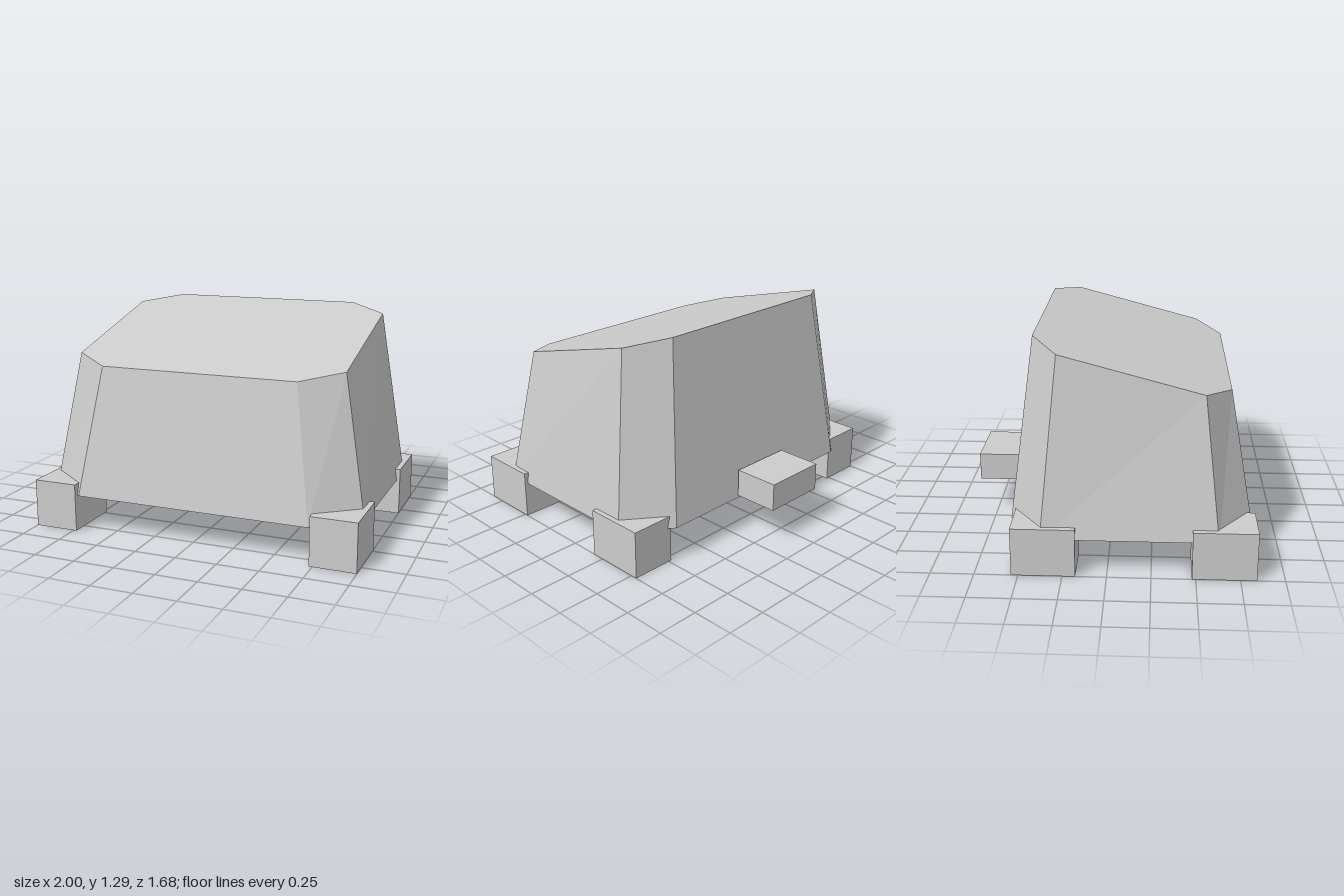
import * as THREE from 'three';

// Octagonal ring, counter-clockwise seen from above; y may slope with z
function ring(xIn, xOut, zFront, zFrontIn, zBackIn, zBack, yAt) {
  return [
    [-xIn, zFront], [xIn, zFront], [xOut, zFrontIn], [xOut, zBackIn],
    [xIn, zBack], [-xIn, zBack], [-xOut, zBackIn], [-xOut, zFrontIn],
  ].map(([x, z]) => new THREE.Vector3(x, yAt(z), z));
}

// Closed flat-faced solid between two rings
function loft(bottom, top) {
  const points = [];
  const n = bottom.length;
  for (let i = 0; i < n; i++) {
    const j = (i + 1) % n;
    points.push(bottom[i], bottom[j], top[j], bottom[i], top[j], top[i]);
  }
  for (let i = 1; i < n - 1; i++) {
    points.push(top[0], top[i], top[i + 1]);
    points.push(bottom[0], bottom[i + 1], bottom[i]);
  }
  const geometry = new THREE.BufferGeometry().setFromPoints(points);
  geometry.computeVertexNormals();
  return geometry;
}

export function createModel() {
  const group = new THREE.Group();
  const grey = new THREE.MeshStandardMaterial({ color: 0xcccccc });
  grey.name = 'light grey';

  const add = (name, geometry, x = 0, y = 0, z = 0) => {
    const mesh = new THREE.Mesh(geometry, grey);
    mesh.name = name;
    mesh.position.set(x, y, z);
    group.add(mesh);
  };

  // Tapered body with cut corners and a top sloping down to the front
  const bottom = ring(0.715, 0.98, 0.825, 0.625, -0.375, -0.57, () => 0.216);
  const top = ring(0.6, 0.832, 0.69, 0.535, -0.278, -0.433, (z) => 1.173 - 0.268 * z);
  add('body', loft(bottom, top));

  // Four corner feet
  const foot = new THREE.BoxGeometry(0.27, 0.288, 0.363);
  for (const [side, x] of [['left', 0.865], ['right', -0.865]]) {
    add(side + 'FrontFoot', foot, x, 0.144, 0.66);
    add(side + 'BackFoot', foot, x, 0.144, -0.358);
  }

  // Block behind the body
  add('rearBlock', new THREE.BoxGeometry(0.394, 0.168, 0.274), 0, 0.314, -0.705);

  return group;
}
